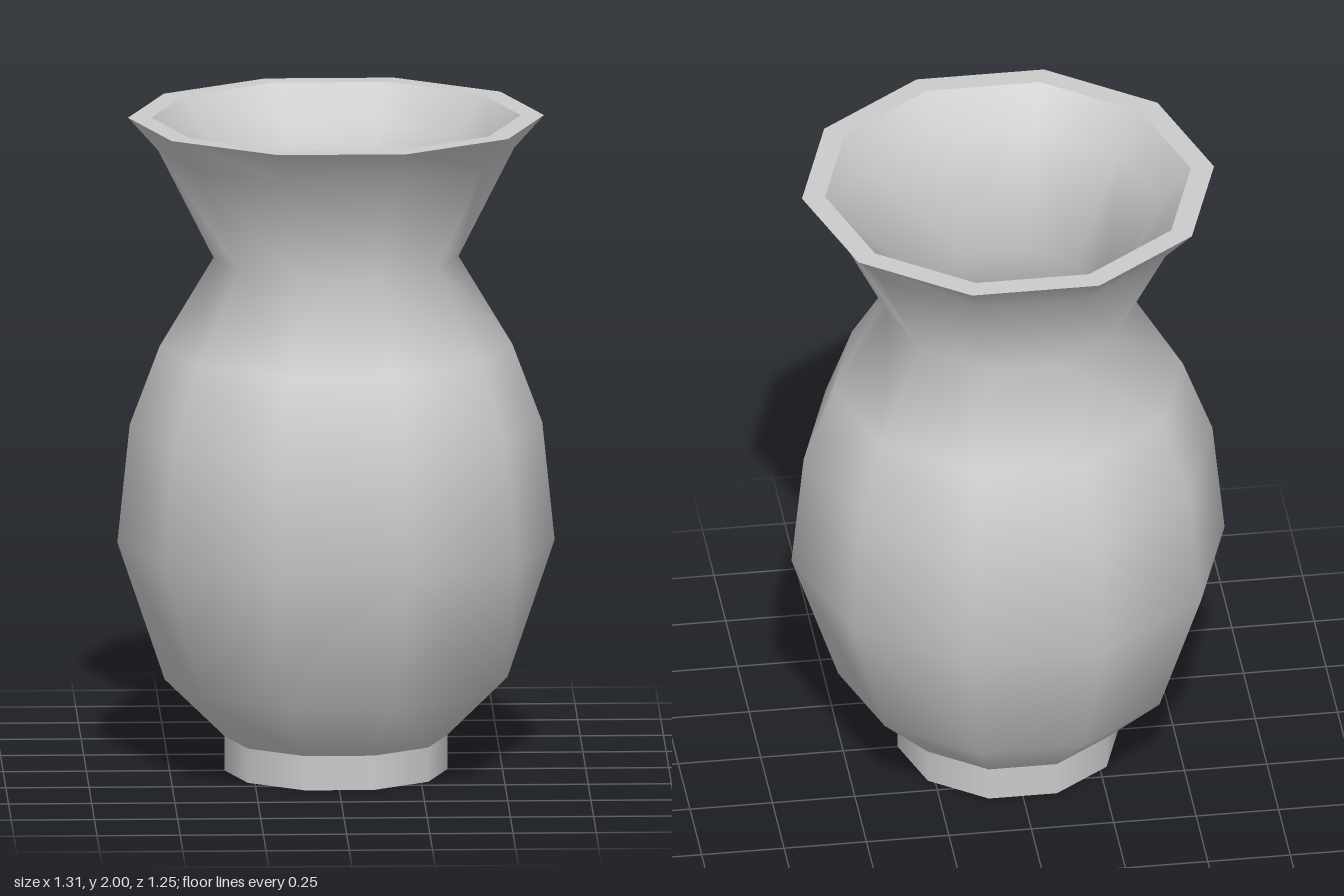
import * as THREE from 'three';

const SIDES = 10;

// Profile sections as [radius, height], run from the underside up the
// outside, over the rim and down the inside; hard edges fall between sections.
const SECTIONS = {
  underside: [[0, 0], [0.335, 0]],
  foot: [[0.335, 0], [0.335, 0.105]],
  outerWall: [
    [0.335, 0.105], [0.515, 0.28], [0.657, 0.7], [0.62, 1.06], [0.53, 1.3],
    [0.368, 1.57], [0.535, 1.9], [0.625, 2],
  ],
  rim: [[0.625, 2], [0.555, 2]],
  innerWall: [
    [0.555, 2], [0.465, 1.89], [0.288, 1.57], [0.46, 1.27], [0.54, 1.04],
    [0.575, 0.7], [0.45, 0.32], [0.31, 0.18],
  ],
  innerFloor: [[0.31, 0.18], [0, 0.18]],
};

export function createModel() {
  const vase = new THREE.Group();
  vase.name = 'vase';
  const material = new THREE.MeshStandardMaterial({ color: 0xcccccc });

  for (const [name, profile] of Object.entries(SECTIONS)) {
    const points = profile.map(([r, y]) => new THREE.Vector2(r, y));
    // Start at +x so a corner of the decagon lies on the x axis
    const mesh = new THREE.Mesh(new THREE.LatheGeometry(points, SIDES, Math.PI / 2), material);
    mesh.name = name;
    vase.add(mesh);
  }
  return vase;
}
